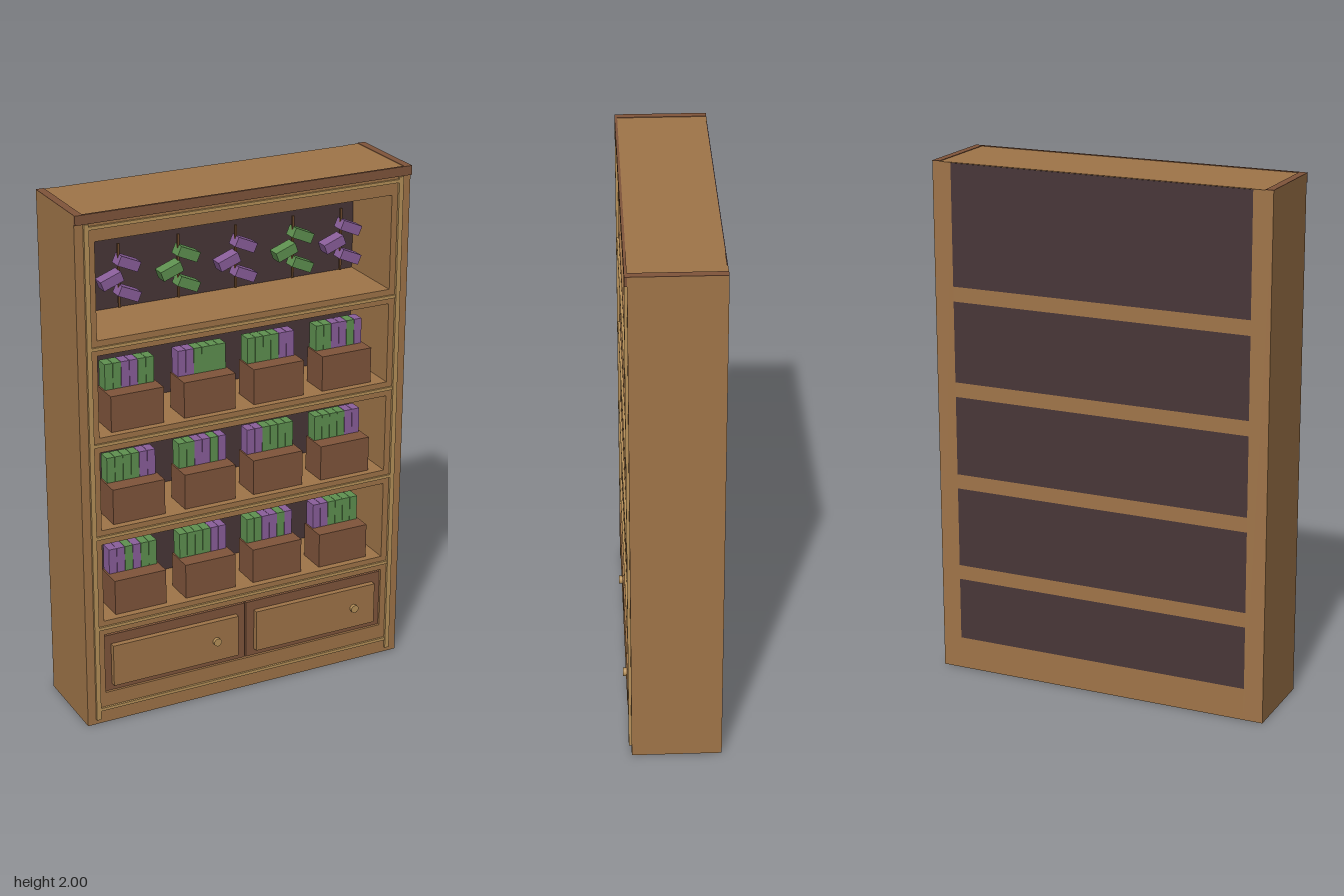
import * as THREE from 'three';

const mat = (name, color) => {
  const m = new THREE.MeshStandardMaterial({ color });
  m.name = name;
  return m;
};

export function createModel() {
  const wood = mat('oak', 0xa07549);
  const brown = mat('walnut', 0x80553b);
  const dark = mat('dark backing', 0x483638);
  const trim = mat('pale trim', 0xb8925a);
  const green = mat('green', 0x5f9150);
  const purple = mat('purple', 0x8b5f9b);
  const twig = mat('twig', 0x6e4a2c);

  const model = new THREE.Group();
  model.name = 'bookcase';

  // Box given by its extents on each axis
  const box = (name, material, [x0, x1], [y0, y1], [z0, z1], parent = model) => {
    const mesh = new THREE.Mesh(new THREE.BoxGeometry(x1 - x0, y1 - y0, z1 - z0), material);
    mesh.position.set((x0 + x1) / 2, (y0 + y1) / 2, (z0 + z1) / 2);
    mesh.name = name;
    parent.add(mesh);
    return mesh;
  };

  const W = 0.665, IN = 0.59, BACK = -0.18, FACE = 0.155, LIP = 0.165;
  const inner = [-IN, IN];

  // Carcass: sides, top, base and shelves
  for (const s of [-1, 1]) {
    const span = s < 0 ? [-W, -IN] : [IN, W];
    box('sidePanel', wood, span, [0, 1.998], [BACK, FACE]);
  }
  box('topBoard', wood, inner, [1.895, 1.998], [BACK + 0.003, FACE]);
  box('baseBoard', wood, inner, [0, 0.125], [BACK, FACE]);
  for (const y of [0.37, 0.74, 1.105, 1.475]) {
    box('shelf', wood, inner, [y, y + 0.057], [BACK, FACE]);
  }

  // Back panels, one for each bay
  for (const [y0, y1] of [[0.125, 0.37], [0.427, 0.74], [0.797, 1.105], [1.162, 1.475], [1.532, 1.895]]) {
    box('backPanel', dark, inner, [y0, y1], [BACK, -0.125]);
  }
  box('upperBackStrip', dark, inner, [1.895, 1.996], [BACK, BACK + 0.003]);

  // Cornice: front strip and end caps
  box('cornice', brown, [-W, W], [1.965, 2], [FACE, LIP]);
  box('corniceCap', brown, [-W, -W + 0.03], [1.998, 2], [BACK, FACE]);
  box('corniceCap', brown, [W - 0.03, W], [1.998, 2], [BACK, FACE]);

  // Pale trim on the face
  for (const x of [-0.623, 0.623]) {
    box('uprightTrim', trim, [x - 0.009, x + 0.009], [0.02, 1.963], [FACE, LIP]);
  }
  for (const y of [0.06, 0.4, 0.77, 1.135, 1.503, 1.947]) {
    box('crossTrim', trim, [-0.614, 0.614], [y - 0.006, y + 0.006], [FACE, LIP - 0.002]);
  }

  // Drawers: brown surround, raised front and knob
  for (const [x0, x1] of [[-0.59, -0.003], [0.003, 0.59]]) {
    const drawer = new THREE.Group();
    drawer.name = 'drawer';
    model.add(drawer);
    box('drawerSurround', brown, [x0, x1], [0.125, 0.358], [-0.1, 0.145], drawer);
    const left = x0 < -0.1 ? -0.56 : 0.037;
    box('drawerFront', wood, [left, left + 0.52], [0.152, 0.32], [0.145, 0.167], drawer);
    const knob = new THREE.Mesh(new THREE.CylinderGeometry(0.016, 0.016, 0.014, 10), trim);
    knob.rotation.x = Math.PI / 2;
    knob.position.set(left + 0.427, 0.236, 0.173);
    knob.name = 'drawerKnob';
    drawer.add(knob);
  }

  // Crates of books on the three middle shelves
  const rows = [
    [0.427, ['PPGPGG', 'GGGGPP', 'GGPPGP', 'PPGGGG']],
    [0.797, ['GGGGPP', 'GGPPGP', 'PPGGGG', 'GGGGPP']],
    [1.162, ['GGPPGG', 'PPGGGG', 'GGGGPP', 'GGPPGP']],
  ];
  const crateX = [-0.427, -0.138, 0.145, 0.432];
  for (const [y, crates] of rows) {
    crates.forEach((books, i) => {
      const x = crateX[i];
      const crate = new THREE.Group();
      crate.name = 'bookCrate';
      model.add(crate);
      box('crate', brown, [x - 0.104, x + 0.104], [y, y + 0.138], [0.01, 0.128], crate);
      [...books].forEach((c, k) => {
        const bx = x - 0.098 + k * 0.0325;
        box('book', c === 'G' ? green : purple, [bx, bx + 0.031], [y + 0.138, y + 0.237], [0.013, 0.065], crate);
      });
    });
  }

  // Hanging herb bundles in the top bay
  const leaves = [[0.032, 1.745, -0.42], [-0.035, 1.69, 0.36], [0.032, 1.632, -0.42]];
  [-0.434, -0.2, 0.03, 0.265, 0.466].forEach((x, i) => {
    const herb = new THREE.Group();
    herb.name = 'herbBundle';
    model.add(herb);
    box('stem', twig, [x - 0.004, x + 0.004], [1.58, 1.82], [-0.004, 0.004], herb);
    for (const [dx, y, tilt] of leaves) {
      const leaf = box('leaf', i % 2 ? green : purple, [x + dx - 0.042, x + dx + 0.042],
        [y - 0.019, y + 0.019], [-0.025, 0.025], herb);
      leaf.rotation.z = tilt;
    }
  });

  return model;
}
